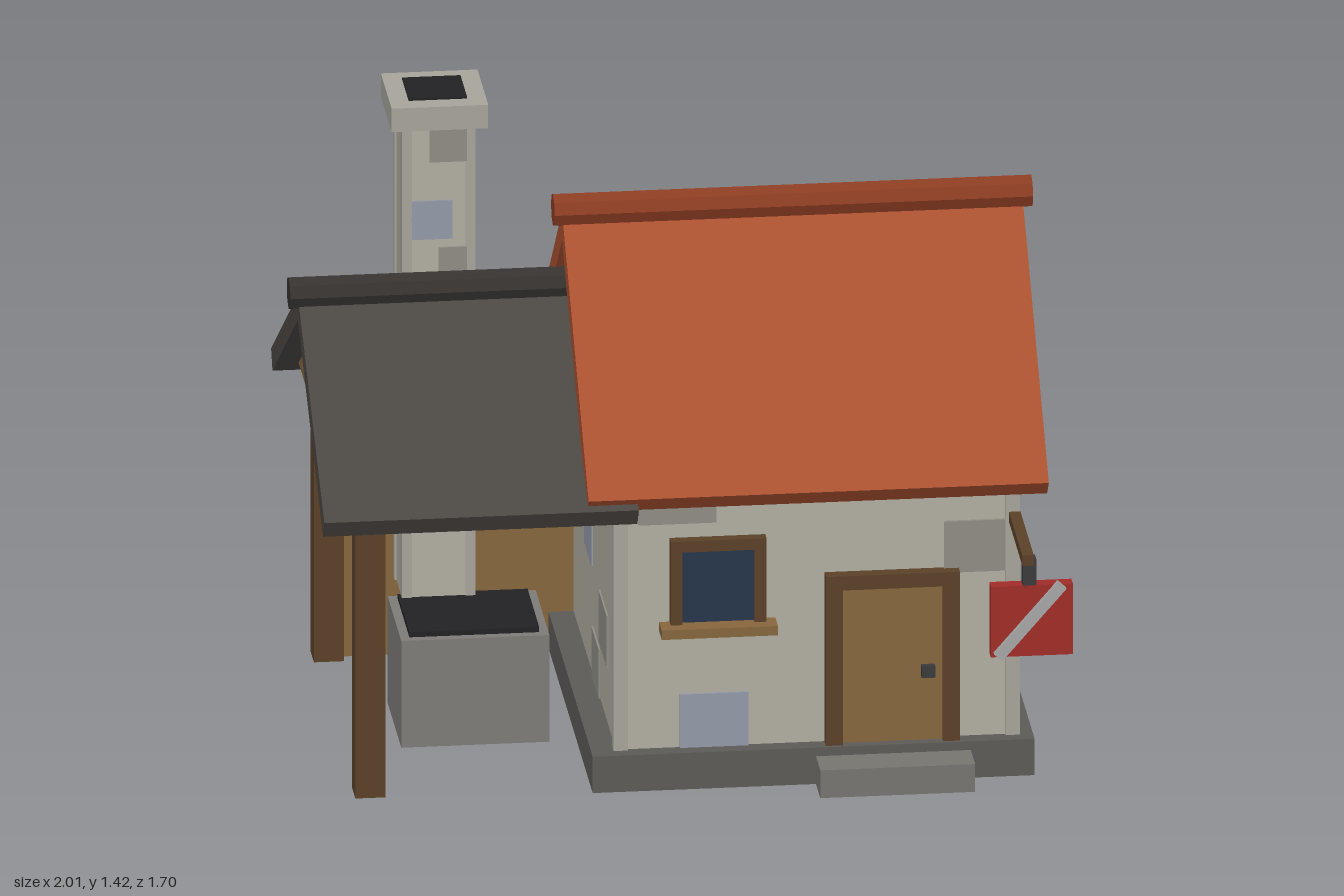
import * as THREE from 'three';

const RIDGE_Z = -0.025; // both roofs share this centre line

const mats = {};
function mat(color) {
  return (mats[color] ??= new THREE.MeshStandardMaterial({ color, flatShading: true, roughness: 0.9 }));
}
const C = {
  wall: 0xb0aca0, trim: 0xa6a39a, base: 0x5c5a57, step: 0x75746f, red: 0xa85030, redCap: 0x8a3c22,
  slate: 0x4a4642, slateCap: 0x35322f, plank: 0x86663e, timber: 0x5a4028, glass: 0x26364a,
  sign: 0xa02c28, metal: 0xa5a5a5, iron: 0x3a3a3a, coal: 0x222224, forge: 0x7c7b78,
  greyStone: 0x8f8c84, blueStone: 0x9298a8,
};

export function createModel() {
  const model = new THREE.Group();
  model.name = 'cottageWithForge';
  const house = new THREE.Group();
  house.name = 'building';
  house.rotation.y = Math.PI / 6;
  model.add(house);

  function add(name, geometry, color) {
    const mesh = new THREE.Mesh(geometry, mat(color));
    mesh.name = name;
    house.add(mesh);
    return mesh;
  }
  // box given by its extents along each axis
  function box(name, color, [x0, x1], [y0, y1], [z0, z1]) {
    const mesh = add(name, new THREE.BoxGeometry(x1 - x0, y1 - y0, z1 - z0), color);
    mesh.position.set((x0 + x1) / 2, (y0 + y1) / 2, (z0 + z1) / 2);
    return mesh;
  }
  // symmetric cross-section pushed along the ridge direction
  function alongRidge(name, color, points, x0, x1) {
    const shape = new THREE.Shape(points.map(([x, y]) => new THREE.Vector2(x, y)));
    const geometry = new THREE.ExtrudeGeometry(shape, { depth: x1 - x0, bevelEnabled: false });
    geometry.rotateY(Math.PI / 2);
    const mesh = add(name, geometry, color);
    mesh.position.set(x0, 0, RIDGE_Z);
  }
  // chevron roof slab with a round ridge cap
  function roof(name, color, capColor, [x0, x1], eave, apex, thick, [c0, c1]) {
    const half = 0.525, angle = Math.atan2(apex - eave, half);
    const ix = half - thick * Math.sin(angle), iy = eave - thick * Math.cos(angle);
    const under = apex - thick / Math.cos(angle);
    alongRidge(name, color,
      [[0, apex], [-half, eave], [-ix, iy], [0, under], [ix, iy], [half, eave]], x0, x1);
    const cap = add(name + 'RidgeCap', new THREE.CylinderGeometry(0.037, 0.037, c1 - c0, 8), capColor);
    cap.rotation.z = Math.PI / 2;
    cap.position.set((c0 + c1) / 2, apex + 0.005, RIDGE_Z);
  }

  // main house body
  box('plinth', C.base, [-0.245, 0.725], [0, 0.085], [-0.495, 0.445]);
  alongRidge('houseWalls', C.wall,
    [[-0.433, 0.08], [0.433, 0.08], [0.433, 0.735], [0, 1.13], [-0.433, 0.735]], -0.19, 0.69);
  for (const x of [-0.18, 0.68]) for (const z of [-0.446, 0.4]) {
    box('cornerStone', C.trim, [x - 0.016, x + 0.016], [0.08, 0.72], [z - 0.016, z + 0.016]);
  }

  // roofs
  roof('mainRoof', C.red, C.redCap, [-0.26, 0.75], 0.705, 1.18, 0.05, [-0.28, 0.77]);
  roof('forgeRoof', C.slate, C.slateCap, [-0.84, -0.15], 0.68, 1.01, 0.05, [-0.86, -0.19]);

  // proud stones: front wall, then left wall, then chimney
  const front = [[0.53, 0.68, 0.47, 0.59, 'greyStone'], [-0.14, 0.03, 0.61, 0.69, 'greyStone'],
    [-0.05, 0.1, 0.085, 0.21, 'blueStone']];
  for (const [x0, x1, y0, y1, c] of front) box('wallStone', C[c], [x0, x1], [y0, y1], [0.4, 0.414]);
  const left = [[0.1, 0.26, 0.22, 0.34, 'greyStone'], [-0.18, -0.04, 0.34, 0.47, 'blueStone'],
    [-0.04, 0.1, 0.085, 0.2, 'greyStone'], [-0.18, -0.04, 0.58, 0.66, 'blueStone']];
  for (const [z0, z1, y0, y1, c] of left) box('wallStone', C[c], [-0.194, -0.18], [y0, y1], [z0, z1]);

  // door with frame, handle and step
  box('door', C.plank, [0.305, 0.525], [0.085, 0.45], [0.4, 0.422]);
  for (const x of [0.268, 0.525]) box('doorPost', C.timber, [x, x + 0.037], [0.085, 0.48], [0.4, 0.437]);
  box('doorLintel', C.timber, [0.268, 0.562], [0.448, 0.481], [0.4, 0.438]);
  box('doorHandle', C.iron, [0.478, 0.508], [0.235, 0.262], [0.42, 0.438]);
  box('doorStep', C.step, [0.245, 0.585], [0, 0.065], [0.43, 0.53]);

  // window with frame and sill
  box('windowGlass', C.glass, [-0.05, 0.115], [0.375, 0.56], [0.4, 0.418]);
  for (const x of [-0.072, 0.112]) box('windowPost', C.timber, [x, x + 0.026], [0.375, 0.575], [0.4, 0.432]);
  box('windowLintel', C.timber, [-0.072, 0.138], [0.55, 0.576], [0.4, 0.433]);
  box('windowSill', C.plank, [-0.095, 0.16], [0.358, 0.38], [0.4, 0.46]);

  // hanging sign
  box('signBracket', C.timber, [0.672, 0.697], [0.584, 0.608], [0.4, 0.68]);
  box('signHanger', C.iron, [0.675, 0.705], [0.525, 0.59], [0.63, 0.66]);
  box('signBoard', C.sign, [0.605, 0.785], [0.365, 0.53], [0.63, 0.66]);
  const blade = add('signBlade', new THREE.BoxGeometry(0.215, 0.024, 0.016), C.metal);
  blade.position.set(0.69, 0.45, 0.666);
  blade.rotation.z = 0.86;

  // open forge shelter: planked back wall, gable board and posts
  box('shelterBackWall', C.plank, [-0.75, -0.19], [0, 0.73], [-0.456, -0.425]);
  alongRidge('shelterGable', C.plank, [[-0.433, 0.68], [0.433, 0.68], [0, 0.965]], -0.79, -0.76);
  for (const z of [-0.43, 0.387]) {
    box('shelterPost', C.timber, [-0.763, -0.697], [0, 0.7], [z - 0.033, z + 0.033]);
  }

  // forge hearth
  box('forgeHearth', C.forge, [-0.63, -0.305], [0, 0.25], [-0.14, 0.13]);
  box('forgeCoals', C.coal, [-0.61, -0.325], [0.24, 0.262], [-0.12, 0.11]);

  // chimney with corner strips, stones and hollow cap
  const cx = -0.523, cz = -0.175, r = 0.077;
  box('chimneyShaft', C.wall, [cx - r, cx + r], [0.25, 1.37], [cz - r, cz + r]);
  for (const sx of [-1, 1]) for (const sz of [-1, 1]) {
    const x = cx + sx * 0.07, z = cz + sz * 0.07;
    box('chimneyCorner', C.trim, [x - 0.011, x + 0.011], [0.25, 1.37], [z - 0.011, z + 0.011]);
  }
  const flue = [[-0.02, 0.062, 1.28, 1.36, 'greyStone'], [-0.06, 0.03, 1.1, 1.19, 'blueStone'],
    [0, 0.062, 1.0, 1.08, 'greyStone'], [-0.06, 0.02, 0.42, 0.52, 'blueStone']];
  for (const [x0, x1, y0, y1, c] of flue) {
    box('chimneyStone', C[c], [cx + x0, cx + x1], [y0, y1], [cz + 0.07, cz + r + 0.004]);
  }
  box('chimneyCap', C.trim, [cx - 0.106, cx + 0.106], [1.365, 1.42], [cz - 0.106, cz + 0.106]);
  box('chimneyOpening', C.coal, [cx - 0.064, cx + 0.064], [1.4, 1.425], [cz - 0.064, cz + 0.064]);

  return model;
}
